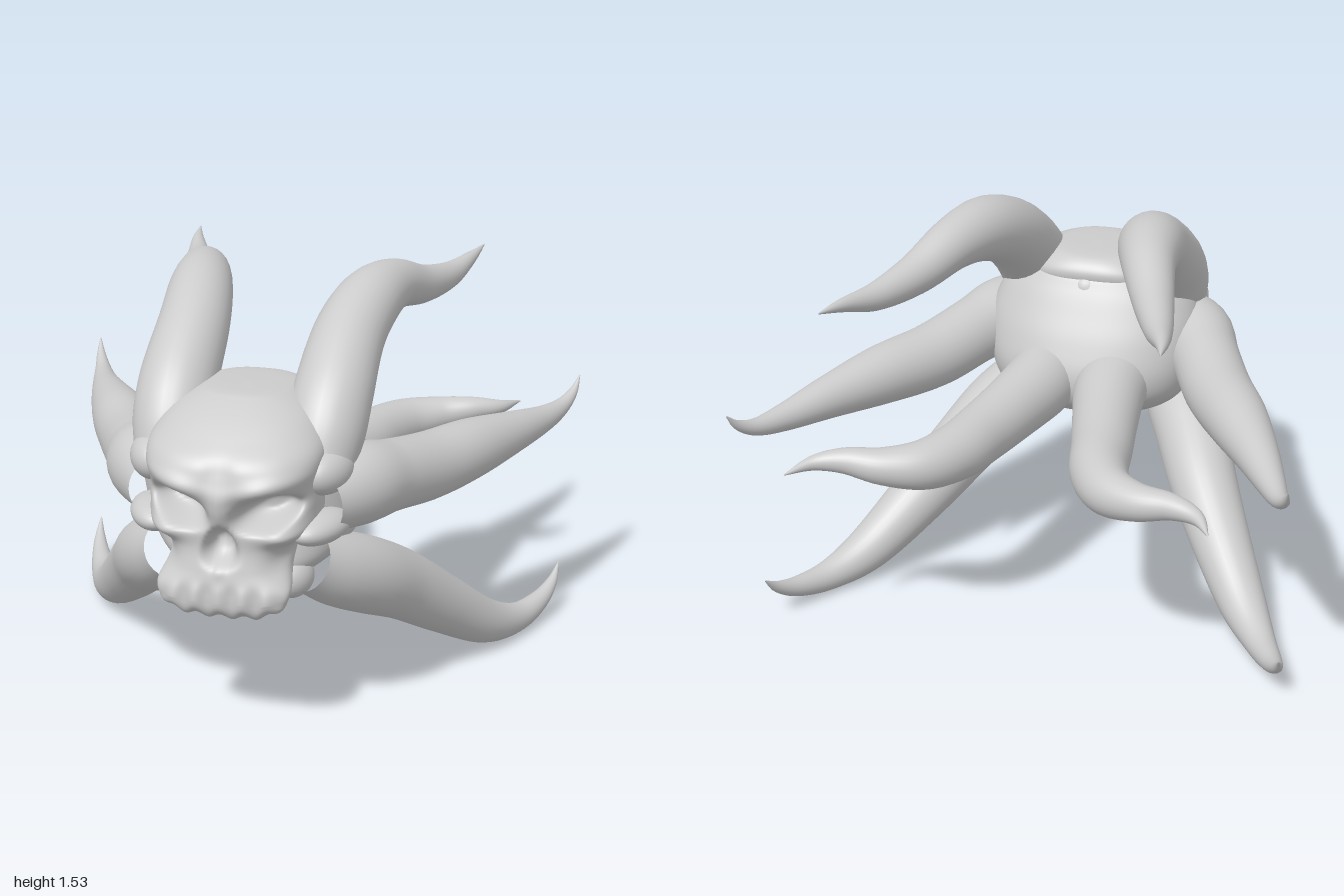
import * as THREE from 'three';
import { mergeVertices } from 'three/addons/utils/BufferGeometryUtils.js';

const material = new THREE.MeshStandardMaterial({ color: 0xcccccc });

// Weld seams and give smooth normals
function smooth(geometry) {
  geometry.deleteAttribute('uv');
  geometry.deleteAttribute('normal');
  const welded = mergeVertices(geometry, 1e-5);
  welded.computeVertexNormals();
  return welded;
}

function spline(points) {
  return new THREE.CatmullRomCurve3(points, false, 'catmullrom', 0.5);
}

// Tapering horn swept through [x, y, z, radius] stations
function hornGeometry(stations, side) {
  const path = spline(stations.map(([x, y, z]) => new THREE.Vector3(x * side, y, z)));
  const radii = spline(stations.map((s) => new THREE.Vector3(s[3], 0, 0)));
  const steps = 72, sides = 28;
  const geometry = new THREE.TubeGeometry(path, steps, 1, sides);
  const pos = geometry.attributes.position;
  const v = new THREE.Vector3();
  for (let i = 0; i <= steps; i++) {
    const centre = path.getPointAt(i / steps);
    const r = Math.max(0.002, radii.getPoint(path.getUtoTmapping(i / steps)).x);
    for (let j = 0; j <= sides; j++) {
      const k = i * (sides + 1) + j;
      v.fromBufferAttribute(pos, k).sub(centre).multiplyScalar(r).add(centre);
      pos.setXYZ(k, v.x, v.y, v.z);
    }
  }
  return smooth(geometry);
}

// Stack of rounded horizontal sections: [y, halfWidth, zFront, zBack]
function loft(rows, n, steps, sides, sculpt) {
  const shape = spline(rows.map((r) => new THREE.Vector3(r[0], r[1], 0)));
  const depth = spline(rows.map((r) => new THREE.Vector3(r[2], r[3], 0)));
  const rounded = (c) => Math.sign(c) * Math.abs(c) ** (2 / n);
  const positions = [], index = [];
  const v = new THREE.Vector3();
  for (let j = 0; j <= steps; j++) {
    const s = shape.getPoint(j / steps), d = depth.getPoint(j / steps);
    for (let i = 0; i <= sides; i++) {
      const a = ((i % sides) / sides) * Math.PI * 2;
      v.set(Math.max(0, s.y) * rounded(Math.cos(a)), s.x,
        (d.x + d.y) / 2 + ((d.x - d.y) / 2) * rounded(Math.sin(a)));
      if (sculpt) sculpt(v);
      positions.push(v.x, v.y, v.z);
      if (j < steps && i < sides) {
        const p = j * (sides + 1) + i, q = p + sides + 1;
        index.push(p, q, p + 1, p + 1, q, q + 1);
      }
    }
  }
  const geometry = new THREE.BufferGeometry();
  geometry.setAttribute('position', new THREE.Float32BufferAttribute(positions, 3));
  geometry.setIndex(index);
  return smooth(geometry);
}

// Soft bump centred on (cx, cy); a higher power gives a flatter middle
function bump(x, y, cx, cy, rx, ry, power = 1) {
  const e = ((x - cx) / rx) ** 2 + ((y - cy) / ry) ** 2;
  return Math.exp(-(e ** power));
}

// Facial features pressed into and raised from the front of the skull
function sculptFace(v) {
  const x = Math.abs(v.x), y = v.y;
  const front = THREE.MathUtils.smoothstep(v.z, 0.6, 0.75);
  const slant = 0.2 * (x - 0.155);
  let dz = 0;
  dz -= 0.14 * bump(x, y, 0.155, 0.89 + slant, 0.095, 0.055, 2);  // eye socket
  dz += 0.03 * bump(x, y, 0.15, 0.985 + slant, 0.13, 0.035);      // brow ridge
  dz += 0.03 * bump(x, y, 0, 0.9, 0.045, 0.07);                   // nose bridge
  const noseWidth = 0.03 + 0.25 * THREE.MathUtils.clamp(0.84 - y, 0, 0.14);
  dz -= 0.085 * bump(x, y, 0, 0.765, noseWidth, 0.065, 2);        // nose opening
  dz += 0.025 * bump(x, y, 0, 0.73, 0.014, 0.05);                 // septum
  dz += 0.035 * bump(x, y, 0.22, 0.8, 0.07, 0.035);               // cheekbone
  dz -= 0.04 * bump(x, y, 0.22, 0.71, 0.05, 0.04);                // cheek hollow
  dz -= 0.015 * bump(x, y, 0, 1.04, 0.05, 0.05);                  // forehead dent
  dz += 0.008 * Math.cos(x * 75) * bump(x, y, 0, 0.57, 0.22, 0.06, 2); // teeth
  v.z += dz * front;
  if (y < 0.57) v.y += 0.008 * Math.cos(x * 75) * front;          // ragged tooth line
}

export function createModel() {
  const group = new THREE.Group();
  const add = (name, geometry) => {
    const mesh = new THREE.Mesh(geometry, material);
    mesh.name = name;
    group.add(mesh);
    return mesh;
  };

  // Face and forehead
  add('face', loft([
    [0.51, 0, 0.85, 0.83], [0.515, 0.14, 0.875, 0.8], [0.55, 0.21, 0.9, 0.77],
    [0.61, 0.235, 0.9, 0.74], [0.68, 0.215, 0.885, 0.58], [0.75, 0.23, 0.87, 0.46],
    [0.81, 0.29, 0.87, 0.4], [0.88, 0.3, 0.875, 0.36], [0.95, 0.3, 0.885, 0.34],
    [1.02, 0.31, 0.895, 0.32], [1.07, 0.31, 0.87, 0.29], [1.12, 0.29, 0.8, 0.25],
    [1.17, 0.25, 0.72, 0.24], [1.21, 0.18, 0.64, 0.27], [1.225, 0.12, 0.59, 0.32],
    [1.23, 0, 0.46, 0.46],
  ], 2.6, 130, 180, sculptFace));

  // Rear of the head where the horns meet
  add('backOfHead', loft([
    [0.53, 0, 0.58, 0.56], [0.56, 0.18, 0.69, 0.42], [0.62, 0.3, 0.72, 0.2],
    [0.7, 0.37, 0.7, 0.1], [0.8, 0.4, 0.68, 0.08], [0.92, 0.41, 0.68, 0.12],
    [1.02, 0.39, 0.68, 0.17], [1.11, 0.33, 0.64, 0.22], [1.17, 0.22, 0.58, 0.27],
    [1.2, 0, 0.42, 0.4],
  ], 2.2, 48, 72));

  // Rough rim at the back of the crown
  for (let i = -2; i <= 2; i++) {
    const knob = add('crownRidge', new THREE.SphereGeometry(1, 20, 14));
    knob.scale.set(0.06, 0.06, 0.05);
    knob.position.set(i * 0.065, 1.1 - 0.008 * i * i, 0.27 + 0.01 * i * i);
  }

  // Four pairs of horns
  const horns = {
    upperHorn: [
      [0.27, 0.97, 0.57, 0.12], [0.275, 1.08, 0.5, 0.14], [0.28, 1.19, 0.4, 0.14],
      [0.285, 1.325, 0.2, 0.13], [0.315, 1.405, 0, 0.118], [0.36, 1.418, -0.2, 0.095],
      [0.43, 1.37, -0.4, 0.073], [0.5, 1.357, -0.6, 0.05], [0.555, 1.385, -0.77, 0.024],
      [0.585, 1.405, -0.905, 0.002],
    ],
    sideHorn: [
      [0.28, 0.87, 0.62, 0.12], [0.38, 0.88, 0.46, 0.145], [0.46, 0.86, 0.3, 0.13],
      [0.56, 0.83, 0.09, 0.125], [0.68, 0.83, -0.13, 0.112], [0.8, 0.825, -0.36, 0.08],
      [0.89, 0.82, -0.55, 0.052], [0.945, 0.832, -0.68, 0.033], [0.98, 0.87, -0.76, 0.018],
      [0.998, 0.925, -0.81, 0.002],
    ],
    lowerHorn: [
      [0.24, 0.64, 0.62, 0.11], [0.32, 0.57, 0.5, 0.135], [0.4, 0.5, 0.37, 0.14],
      [0.49, 0.395, 0.19, 0.13], [0.61, 0.25, 0, 0.112], [0.74, 0.11, -0.19, 0.088],
      [0.84, 0.06, -0.35, 0.059], [0.91, 0.075, -0.49, 0.04], [0.95, 0.12, -0.59, 0.022],
      [0.967, 0.182, -0.66, 0.002],
    ],
    backHorn: [
      [0.13, 0.78, 0.28, 0.14], [0.14, 0.76, 0.1, 0.135], [0.18, 0.745, -0.1, 0.122],
      [0.225, 0.735, -0.3, 0.112], [0.265, 0.735, -0.48, 0.104], [0.34, 0.74, -0.62, 0.09],
      [0.46, 0.755, -0.7, 0.068], [0.59, 0.775, -0.735, 0.047], [0.69, 0.775, -0.785, 0.027],
      [0.755, 0.77, -0.89, 0.002],
    ],
  };
  for (const side of [1, -1]) {
    const prefix = side > 0 ? 'left' : 'right';
    for (const [name, stations] of Object.entries(horns)) {
      add(prefix + name[0].toUpperCase() + name.slice(1), hornGeometry(stations, side));
    }

    // Jaw corner, cheekbone arch and temple beside the face
    const lumps = {
      JawCorner: [0.19, 0.575, 0.62, 0.07, 0.075, 0.09],
      CheekArch: [0.3, 0.79, 0.66, 0.08, 0.055, 0.14],
      Temple: [0.31, 0.98, 0.62, 0.08, 0.08, 0.12],
    };
    for (const [name, [x, y, z, sx, sy, sz]] of Object.entries(lumps)) {
      const lump = add(prefix + name, new THREE.SphereGeometry(1, 28, 20));
      lump.position.set(x * side, y, z);
      lump.scale.set(sx, sy, sz);
      lump.rotation.y = -0.4 * side;
    }
  }
  return group;
}
